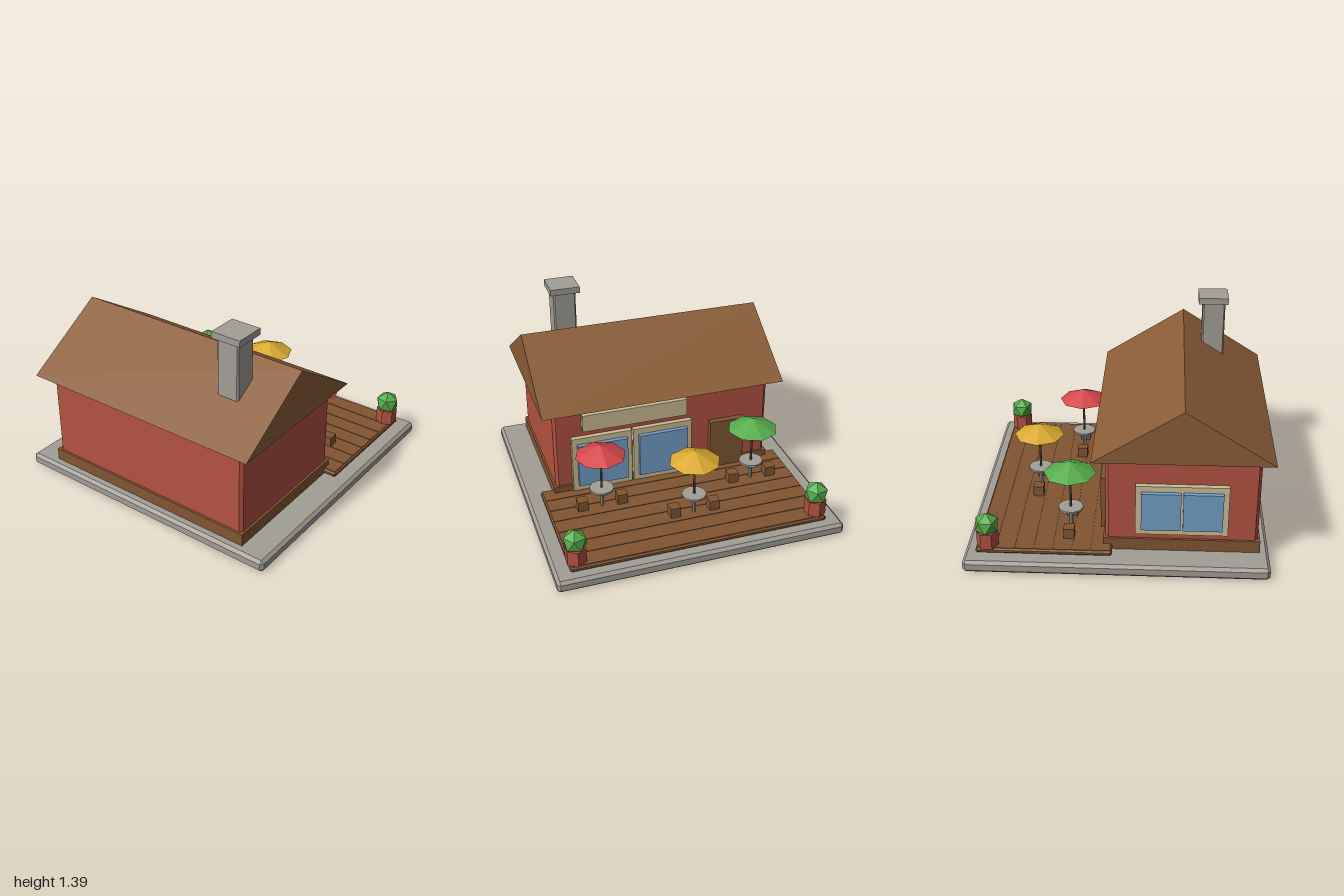
import * as THREE from 'three';
import { ConvexGeometry } from 'three/addons/geometries/ConvexGeometry.js';

function material(name, color) {
  const m = new THREE.MeshStandardMaterial({ color, flatShading: true });
  m.name = name;
  return m;
}

// Box given by its min and max corners, with optional chamfered edges
function boxGeometry([x0, y0, z0], [x1, y1, z1], c = 0) {
  const w = x1 - x0, h = y1 - y0, d = z1 - z0;
  let g;
  if (c === 0) {
    g = new THREE.BoxGeometry(w, h, d);
  } else {
    const pts = [];
    for (const i of [-1, 1]) for (const j of [-1, 1]) for (const k of [-1, 1]) {
      const x = i * w / 2, y = j * h / 2, z = k * d / 2;
      pts.push(new THREE.Vector3(x, y - j * c, z - k * c));
      pts.push(new THREE.Vector3(x - i * c, y, z - k * c));
      pts.push(new THREE.Vector3(x - i * c, y - j * c, z));
    }
    g = new ConvexGeometry(pts);
  }
  return g.translate((x0 + x1) / 2, (y0 + y1) / 2, (z0 + z1) / 2);
}

export function createModel() {
  const stone = material('stone grey', 0xa29e96);
  const brick = material('brick red', 0xb35241);
  const roofBrown = material('roof brown', 0x8a5d37);
  const wood = material('wood brown', 0x825632);
  const cream = material('cream', 0xcbbd96);
  const glass = material('glass blue', 0x739fc8);
  const green = material('leaf green', 0x55ac4b);
  const red = material('parasol red', 0xd5474a);
  const yellow = material('parasol yellow', 0xd9a92e);
  const metal = material('dark metal', 0x5a5650);

  const model = new THREE.Group();
  model.name = 'cafe';

  function add(name, geometry, mat, parent = model) {
    const mesh = new THREE.Mesh(geometry, mat);
    mesh.name = name;
    parent.add(mesh);
    return mesh;
  }
  const box = (name, mat, min, max, c = 0, parent = model) =>
    add(name, boxGeometry(min, max, c), mat, parent);
  const cylinder = (name, mat, r, y0, y1, sides, parent) =>
    add(name, new THREE.CylinderGeometry(r, r, y1 - y0, sides).translate(0, (y0 + y1) / 2, 0), mat, parent);

  // Ground slab, plinth and walls
  box('groundSlab', stone, [-0.995, 0, -0.995], [0.995, 0.085, 0.995], 0.02);
  box('plinth', wood, [-0.8, 0.085, -0.09], [0.8, 0.17, 0.935]);
  box('walls', brick, [-0.785, 0.15, -0.075], [0.785, 0.775, 0.92], 0.02);

  // Gable roof, extruded along x
  const gable = new THREE.Shape();
  gable.moveTo(-1.0, 0.77);
  gable.lineTo(0.16, 0.77);
  gable.lineTo(-0.42, 1.135);
  gable.closePath();
  const roof = new THREE.ExtrudeGeometry(gable, { depth: 1.74, bevelEnabled: false });
  roof.translate(0, 0, -0.87).rotateY(Math.PI / 2);
  add('roof', roof, roofBrown);

  // Chimney
  box('chimney', stone, [0.44, 0.945, 0.55], [0.6, 1.35, 0.71], 0.01);
  box('chimneyCap', stone, [0.415, 1.345, 0.52], [0.625, 1.39, 0.73]);

  // Terrace with thin planks on top
  box('deck', wood, [-0.89, 0.085, -0.92], [0.89, 0.12, -0.03], 0.01);
  const planks = 7, z0 = -0.91, pitch = 0.87 / planks;
  for (let i = 0; i < planks; i++) {
    const z = z0 + i * pitch;
    box('plank', wood, [-0.88, 0.115, z + 0.003], [0.88, 0.124, z + pitch - 0.003]);
  }

  // Terrace windows, sign and door
  for (const x of [0.01, 0.452]) {
    box('windowFrame', cream, [x - 0.215, 0.13, -0.11], [x + 0.215, 0.55, -0.07]);
    box('windowPane', glass, [x - 0.178, 0.18, -0.14], [x + 0.178, 0.505, -0.11]);
  }
  box('signBoard', cream, [-0.16, 0.61, -0.13], [0.59, 0.735, -0.09]);
  box('door', wood, [-0.6, 0.12, -0.118], [-0.345, 0.5, -0.07]);

  // Side window with two panes
  box('sideWindowFrame', cream, [-0.82, 0.22, 0.12], [-0.78, 0.58, 0.72]);
  for (const z of [0.285, 0.555]) {
    box('sideWindowPane', glass, [-0.85, 0.27, z - 0.128], [-0.82, 0.54, z + 0.128]);
  }

  // Tables, each with a parasol and two stools
  const tables = [[0.52, -0.32, red], [-0.055, -0.585, yellow], [-0.58, -0.32, green]];
  for (const [x, z, colour] of tables) {
    const set = new THREE.Group();
    set.name = 'tableSet';
    set.position.set(x, 0, z);
    model.add(set);
    cylinder('tableStem', stone, 0.014, 0.12, 0.26, 8, set);
    cylinder('tableTop', stone, 0.085, 0.255, 0.27, 10, set);
    cylinder('parasolPole', metal, 0.008, 0.26, 0.54, 6, set);
    add('parasol', new THREE.ConeGeometry(0.175, 0.08, 8).translate(0, 0.57, 0), colour, set);
    for (const s of [-1, 1]) {
      box('stool', wood, [s * 0.14 - 0.036, 0.12, -0.036], [s * 0.14 + 0.036, 0.197, 0.036], 0, set);
    }
  }

  // Corner planters with clipped shrubs
  for (const s of [-1, 1]) {
    const planter = new THREE.Group();
    planter.name = 'planter';
    planter.position.set(s * 0.837, 0, -0.845);
    model.add(planter);
    cylinder('pot', brick, 0.073, 0.12, 0.23, 6, planter);
    const shrub = new THREE.IcosahedronGeometry(0.085, 0);
    shrub.rotateZ(-Math.atan(2 / (1 + Math.sqrt(5)))).translate(0, 0.277, 0);
    add('shrub', shrub, green, planter);
  }

  return model;
}
